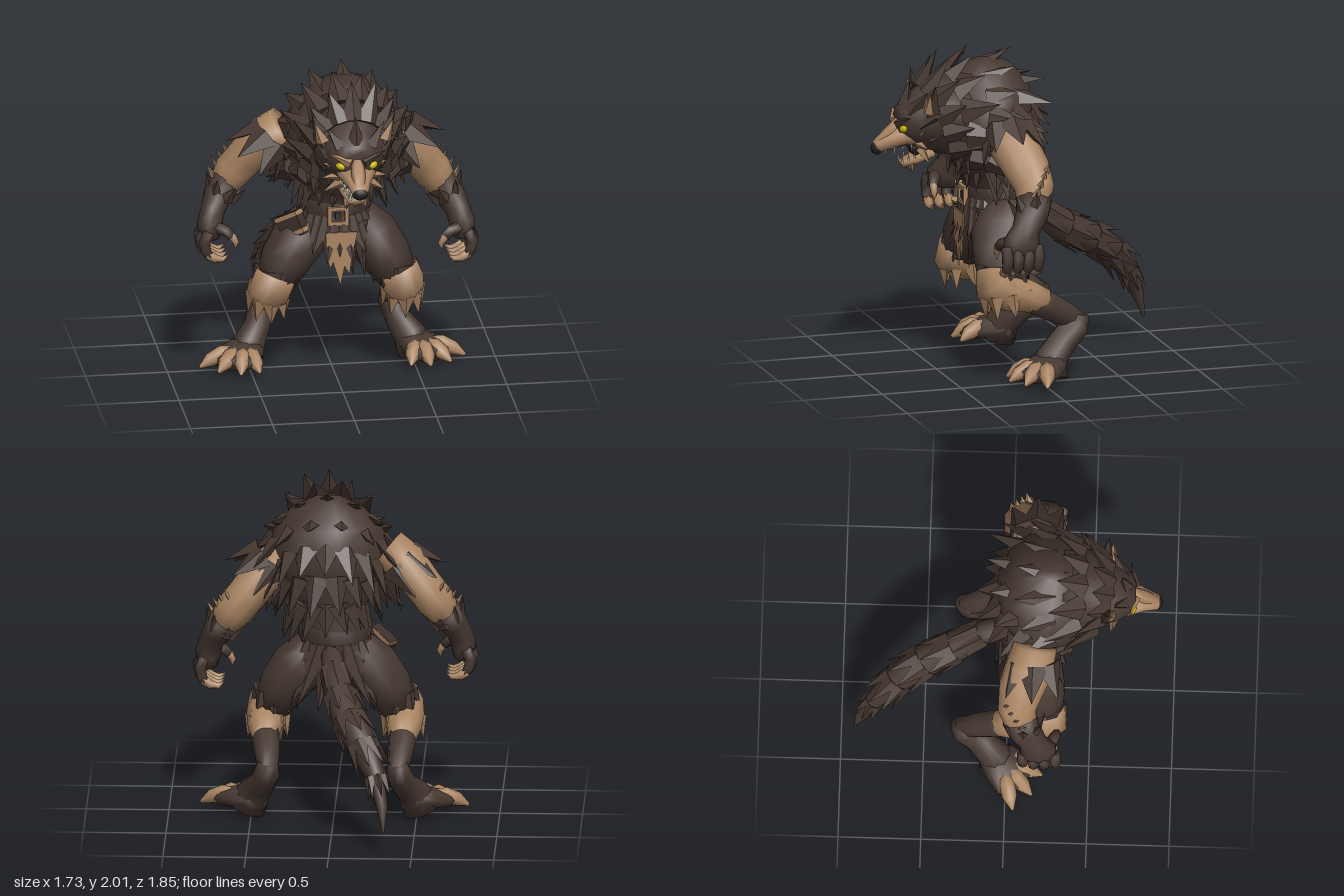
import * as THREE from 'three';
import { mergeGeometries } from 'three/addons/utils/BufferGeometryUtils.js';

const V = (a) => new THREE.Vector3(a[0], a[1], a[2]);
const mat = (name, color) => { const m = new THREE.MeshStandardMaterial({ color }); m.name = name; return m; };
const Z = [0, 0, 1], Y = [0, 1, 0];

// Elliptical loft through sections [x, y, z, radius across, radius along ref]
function loft(secs, ref = Z, sides = 10) {
  const P = secs.map(V), pos = [], idx = [], n = secs.length;
  secs.forEach((s, i) => {
    const t = P[Math.min(i + 1, n - 1)].clone().sub(P[Math.max(i - 1, 0)]).normalize();
    const u = t.clone().cross(V(ref)).normalize(), v = u.clone().cross(t);
    for (let j = 0; j < sides; j++) {
      const a = (j / sides) * Math.PI * 2;
      const p = P[i].clone().addScaledVector(u, Math.cos(a) * s[3]).addScaledVector(v, Math.sin(a) * (s[4] ?? s[3]));
      pos.push(p.x, p.y, p.z);
    }
  });
  for (let i = 0; i < n - 1; i++) for (let j = 0; j < sides; j++) {
    const k = (j + 1) % sides, a = i * sides + j, b = i * sides + k, c = a + sides, d = b + sides;
    idx.push(a, c, b, b, c, d);
  }
  const s0 = n * sides, last = (n - 1) * sides;
  for (const p of [P[0], P[n - 1]]) pos.push(p.x, p.y, p.z);
  for (let j = 0; j < sides; j++) {
    const k = (j + 1) % sides;
    idx.push(s0, j, k, s0 + 1, last + k, last + j);
  }
  const g = new THREE.BufferGeometry();
  g.setAttribute('position', new THREE.Float32BufferAttribute(pos, 3));
  g.setIndex(idx);
  g.computeVertexNormals();
  return g;
}

// Pointed fur tuft: faceted, ridged, flattened along its normal
function tuft(p, dir, normal, len, w, thick = w * 0.5) {
  const y = V(dir).normalize(), x = y.clone().cross(V(normal)).normalize(), z = x.clone().cross(y);
  const g = new THREE.ConeGeometry(1, 1, 4).toNonIndexed();
  g.deleteAttribute('uv');
  g.translate(0, 0.5, 0).scale(w, len, thick);
  g.applyMatrix4(new THREE.Matrix4().makeBasis(x, y, z).setPosition(V(p)));
  g.computeVertexNormals();
  return g;
}

export function createModel() {
  const root = new THREE.Group();
  const dark = mat('dark fur', 0x463831), tan = mat('tan fur', 0xa98462), black = mat('nose black', 0x241f1d);
  const yellow = mat('eye yellow', 0xc9b400), white = mat('tooth white', 0xe6e2d6), leather = mat('leather', 0x3d302a);
  const add = (name, geo, m) => {
    const mesh = new THREE.Mesh(Array.isArray(geo) ? mergeGeometries(geo) : geo, m);
    mesh.name = name;
    root.add(mesh);
    return mesh;
  };

  // Torso with hunched back
  add('torso', loft([[0, 0.86, 0.12, 0.17, 0.15], [0, 1.0, 0.13, 0.2, 0.18], [0, 1.12, 0.13, 0.19, 0.17], [0.02, 1.25, 0.17, 0.22, 0.2],
    [0.03, 1.4, 0.2, 0.32, 0.27], [0.04, 1.55, 0.22, 0.38, 0.31], [0.05, 1.7, 0.24, 0.33, 0.3], [0.05, 1.82, 0.27, 0.22, 0.23],
    [0.05, 1.89, 0.29, 0.07, 0.1]], Z, 14), dark);

  // Mane: arcs of tufts sweeping from brow over the back; rows are [z, y, centre z, centre y, half width]
  const rows = [[0.72, 1.66, 0.62, 1.52, 0.16], [0.62, 1.78, 0.52, 1.5, 0.24], [0.46, 1.85, 0.4, 1.48, 0.31], [0.27, 1.86, 0.28, 1.48, 0.38],
    [0.07, 1.8, 0.2, 1.48, 0.38], [-0.05, 1.66, 0.17, 1.45, 0.34], [-0.08, 1.48, 0.15, 1.38, 0.28], [-0.05, 1.3, 0.13, 1.25, 0.22]];
  const mane = [];
  rows.forEach(([z, y, cz, cy, w], r) => {
    const nx = rows[Math.min(r + 1, 7)], pv = rows[Math.max(r - 1, 0)], count = r === 0 ? 7 : 10 + (r % 2);
    const tan0 = new THREE.Vector3(0, nx[1] - pv[1], nx[0] - pv[0]).normalize();
    for (let i = 0; i < count; i++) {
      const a = (i / (count - 1) - 0.5) * 3.8, c = Math.cos(a), s = Math.sin(a);
      const p = [0.05 + w * s * 0.95, cy + (y - cy) * c * 0.95, cz + (z - cz) * c * 0.95];
      const rad = new THREE.Vector3(s, (y - cy) * c * 2.5, (z - cz) * c * 2.5).normalize();
      const dir = rad.clone().multiplyScalar(r > 4 ? 0.35 : 0.55).addScaledVector(tan0, 0.8);
      dir.y -= 0.25 * Math.abs(s);
      const len = (r === 0 ? 0.16 : 0.23) * (1 + 0.15 * Math.sin(i * 5.1 + r * 2.3));
      mane.push(tuft(p, dir.toArray(), rad.toArray(), len, r === 0 ? 0.055 : 0.085, 0.045));
    }
  });
  add('mane', mane, dark);

  // Chest ruff under the jaw
  const ruff = [];
  for (let r = 0; r < 3; r++) for (let i = -2; i <= 2; i++)
    ruff.push(tuft([0.04 + i * (0.06 + r * 0.02), 1.3 + r * 0.09, 0.35 + r * 0.06 - Math.abs(i) * 0.035], [i * 0.12, -1, 0.18], [0, 0, 1], 0.19, 0.07, 0.05));
  add('chestRuff', ruff, dark);

  // Head, muzzle and open jaw
  add('head', loft([[0.05, 1.6, 0.3, 0.3, 0.28], [0.05, 1.57, 0.52, 0.24, 0.24], [0.05, 1.55, 0.66, 0.18, 0.17], [0.05, 1.53, 0.74, 0.125, 0.12],
    [0.05, 1.53, 0.77, 0.08, 0.08]], Y, 12), dark);
  add('muzzle', loft([[0.05, 1.47, 0.6, 0.13, 0.075], [0.05, 1.475, 0.73, 0.12, 0.065], [0.05, 1.44, 0.82, 0.075, 0.055], [0.05, 1.405, 0.9, 0.05, 0.04]], Y), tan);
  add('noseBridge', loft([[0.05, 1.56, 0.75, 0.035, 0.03], [0.05, 1.5, 0.81, 0.045, 0.03], [0.05, 1.435, 0.89, 0.035, 0.025]], Y, 6), tan);
  const nose = add('nose', new THREE.SphereGeometry(0.05, 10, 8), black);
  nose.scale.set(1, 0.8, 0.7);
  nose.position.set(0.05, 1.4, 0.895);
  add('mouth', loft([[0.05, 1.41, 0.56, 0.09, 0.07], [0.05, 1.38, 0.68, 0.07, 0.055]], Y, 8), black);
  add('jaw', loft([[0.05, 1.37, 0.56, 0.11, 0.05], [0.05, 1.32, 0.66, 0.085, 0.035], [0.05, 1.29, 0.74, 0.05, 0.025]], Y), tan);
  add('chinTufts', [-1, 0, 1].map((i) => tuft([0.05 + i * 0.045, 1.3, 0.68], [i * 0.3, -1, 0.1], Z, 0.07, 0.03)), tan);
  const teeth = [], cheeks = [], ears = [], inner = [], brows = [];
  for (const s of [-1, 1]) {
    for (let i = 0; i < 4; i++) {
      teeth.push(tuft([0.05 + s * (0.045 + i * 0.014), 1.4 + i * 0.008, 0.85 - i * 0.05], [0, -1, 0], Z, i === 1 ? 0.075 : 0.05, 0.014));
      teeth.push(tuft([0.05 + s * (0.035 + i * 0.012), 1.305 + i * 0.015, 0.74 - i * 0.035], [0, 1, 0.1], Z, i === 0 ? 0.08 : 0.05, 0.013));
    }
    for (let i = 0; i < 3; i++)
      cheeks.push(tuft([0.05 + s * 0.08, 1.49 - i * 0.05, 0.68 - i * 0.02], [s, 0.25 - i * 0.45, -0.25], Z, 0.13, 0.04, 0.03));
    ears.push(tuft([0.05 + s * 0.17, 1.62, 0.59], [s * 0.42, 1, 0.05], [s * 0.5, 0, 1], 0.22, 0.075, 0.05));
    inner.push(tuft([0.05 + s * 0.19, 1.645, 0.625], [s * 0.4, 1, 0.02], [s * 0.5, 0, 1], 0.14, 0.045, 0.03));
    brows.push(tuft([0.05 + s * 0.04, 1.555, 0.775], [s, 0.42, -0.3], [0, 0.3, 1], 0.16, 0.03, 0.025));
    const eye = add(s > 0 ? 'leftEye' : 'rightEye', new THREE.SphereGeometry(0.032, 8, 6), yellow);
    eye.scale.set(1, 0.7, 0.6);
    eye.position.set(0.05 + s * 0.1, 1.53, 0.755);
    eye.rotation.set(0, s * 0.5, s * 0.3);
  }
  add('teeth', teeth, white);
  add('cheekTufts', cheeks, tan);
  add('ears', ears, dark);
  add('innerEars', inner, tan);
  add('leftBrow', brows[1], dark);
  add('rightBrow', brows[0], tan);

  // Arms and hands; the right arm is carried a little higher
  for (const s of [-1, 1]) {
    const side = s > 0 ? 'left' : 'right', up = s > 0 ? 0 : 0.07;
    const M = (secs, k = 1) => secs.map(([x, y, ...r]) => [x * s, y + up * k, ...r]);
    add(side + 'Arm', loft(M([[0.32, 1.52, 0.17, 0.13, 0.14], [0.43, 1.44, 0.14, 0.13, 0.15], [0.53, 1.32, 0.09, 0.12, 0.14],
      [0.61, 1.22, 0.07, 0.12, 0.12], [0.68, 1.12, 0.1, 0.09, 0.1]])), tan);
    add(side + 'Forearm', loft(M([[0.655, 1.16, 0.085, 0.105, 0.11], [0.71, 1.08, 0.12, 0.09, 0.1], [0.75, 1.0, 0.17, 0.075, 0.085],
      [0.77, 0.93, 0.2, 0.08, 0.115], [0.775, 0.85, 0.21, 0.065, 0.11]])), dark);
    const cuff = [], elbow = [], cap = [];
    for (let i = 0; i < 7; i++) {
      const a = (i / 7) * Math.PI * 2, c = Math.cos(a), d = Math.sin(a);
      cuff.push(tuft([s * (0.69 + c * 0.065), 1.08 + up + c * 0.04, 0.11 + d * 0.085], [s * (c * 0.5 - 0.35), 0.75, d * 0.4], [s * c, 0.3, d], 0.12, 0.05, 0.03));
      cap.push(tuft([s * (0.38 + c * 0.08), 1.53 + c * 0.07, 0.16 + d * 0.12], [s * (0.7 + c * 0.35), -0.75 + c * 0.3, d * 0.4], [s * c, 0.3 + c * 0.3, d], 0.23, 0.1, 0.05));
    }
    for (let i = 0; i < 4; i++)
      elbow.push(tuft([s * (0.6 + i * 0.035), 1.24 + up - i * 0.035, 0.03 + i * 0.03], [s * 0.5, 1, -0.25], [s, 0.3, 0], 0.17, 0.05, 0.03));
    add(side + 'ForearmTufts', cuff, dark);
    add(side + 'ElbowTufts', elbow, tan);
    add(side + 'ShoulderTufts', cap, dark);
    const fingers = [], claws = [];
    for (let i = 0; i < 4; i++) {
      const z = 0.11 + i * 0.065, o = Math.abs(i - 1.5) * 0.012;
      fingers.push(loft(M([[0.79, 0.91, z, 0.035], [0.835 - o, 0.85, z, 0.037], [0.825 - o, 0.79, z, 0.033], [0.785, 0.755, z, 0.028]]), Z, 7));
      claws.push(loft(M([[0.8, 0.77, z, 0.032], [0.75, 0.74, z, 0.028], [0.705, 0.735, z, 0.019], [0.67, 0.76, z, 0.003]]), Z, 6));
    }
    fingers.push(loft(M([[0.75, 0.93, 0.27, 0.04], [0.68, 0.91, 0.3, 0.035], [0.65, 0.88, 0.31, 0.03]]), Z, 7));
    claws.push(loft(M([[0.655, 0.89, 0.31, 0.027], [0.625, 0.84, 0.315, 0.019], [0.63, 0.8, 0.315, 0.003]]), Z, 6));
    add(side + 'Fingers', fingers, dark);
    add(side + 'FingerClaws', claws, tan);

    // Legs: thigh, tan knee, swept-back hock and splayed foot
    const L = (secs) => M(secs, 0);
    add(side + 'Thigh', loft(L([[0.12, 1.0, 0.12, 0.12, 0.14], [0.21, 0.87, 0.14, 0.17, 0.2], [0.31, 0.73, 0.17, 0.155, 0.19], [0.38, 0.6, 0.2, 0.12, 0.15]])), dark);
    add(side + 'Knee', loft(L([[0.37, 0.66, 0.24, 0.13, 0.12], [0.405, 0.58, 0.25, 0.13, 0.14], [0.415, 0.53, 0.16, 0.125, 0.12], [0.42, 0.5, 0.04, 0.105, 0.1],
      [0.415, 0.46, -0.05, 0.08, 0.085]]), Z), tan);
    add(side + 'Shin', loft(L([[0.42, 0.5, 0.06, 0.09, 0.09], [0.41, 0.44, -0.06, 0.085, 0.09], [0.4, 0.38, -0.17, 0.075, 0.08], [0.39, 0.31, -0.27, 0.06, 0.07]]), Y), dark);
    add(side + 'Hock', loft(L([[0.39, 0.36, -0.26, 0.06, 0.08], [0.4, 0.29, -0.25, 0.08, 0.09], [0.43, 0.2, -0.16, 0.08, 0.09], [0.49, 0.12, -0.07, 0.1, 0.1],
      [0.52, 0.02, -0.05, 0.11, 0.12]])), dark);
    add(side + 'Foot', loft(L([[0.45, 0.09, -0.13, 0.07, 0.08], [0.52, 0.085, -0.04, 0.13, 0.08], [0.6, 0.065, 0.06, 0.16, 0.06], [0.64, 0.05, 0.11, 0.12, 0.04]]), Y), dark);
    const tips = [[0.46, 0.2], [0.58, 0.22], [0.71, 0.16], [0.81, 0.05]];
    add(side + 'Toes', tips.map(([x, z]) => {
      const q = (k, y, r, h) => [x + (0.53 - x) * k, y, z + (-0.03 - z) * k, r, h];
      return loft(L([q(0.75, 0.09, 0.04, 0.04), q(0.5, 0.09, 0.052, 0.05), q(0.25, 0.06, 0.045, 0.045), q(0, 0.02, 0.008, 0.01)]), Y, 8);
    }), tan);
    const kneeFur = [], thighFur = [];
    for (let i = 0; i < 8; i++) {
      const a = (i / 8) * Math.PI * 2, c = Math.cos(a), d = Math.sin(a);
      thighFur.push(tuft([s * (0.355 + c * 0.11), 0.7, 0.19 + d * 0.13], [s * (0.15 + c * 0.25), -1, d * 0.25], [s * c, 0, d], 0.14, 0.07, 0.035));
      kneeFur.push(tuft([s * (0.41 + c * 0.1), 0.54 - d * 0.02, 0.18 + d * 0.14], [s * c * 0.15, -1, d * 0.1 - 0.15], [s * c, 0, d], 0.15, 0.06, 0.04));
    }
    kneeFur.push(tuft([s * 0.38, 0.62, 0.3], [s * -0.1, 1, -0.05], Z, 0.15, 0.08, 0.05), tuft([s * 0.47, 0.6, 0.22], [s * 0.05, 1, 0], [s, 0, 0], 0.13, 0.08, 0.04));
    add(side + 'ThighTufts', thighFur, dark);
    add(side + 'KneeTufts', kneeFur, tan);
  }

  // Fur skirt, belt and loincloth
  const skirt = [];
  for (let r = 0; r < 2; r++) for (let i = 0; i < 14; i++) {
    const a = ((i + r * 0.5) / 14) * Math.PI * 2, c = Math.cos(a), d = Math.sin(a), back = d < -0.7;
    skirt.push(tuft([c * 0.19, 1.04, 0.13 + d * 0.17], [c * (r ? 0.85 : 0.6), -1, d * (back ? 0.1 : 0.35)], [c, 0.4, d], back ? 0.42 : 0.29 - r * 0.04, 0.085, 0.035));
  }
  for (let i = 0; i < 3; i++) skirt.push(tuft([0.02 + i * 0.05, 1.0, 0.29], [0.06 * i, -1, 0.04], Z, 0.36 - (i % 2) * 0.02, 0.06, 0.02));
  add('furSkirt', skirt, dark);
  const belt = add('belt', new THREE.LatheGeometry([[0.19, 1.0], [0.222, 1.005], [0.222, 1.12], [0.19, 1.13]].map(([x, y]) => new THREE.Vector2(x, y)), 20), leather);
  belt.scale.z = 0.88;
  belt.position.z = 0.13;
  const frame = new THREE.Shape([[-0.07, 1.0], [0.06, 1.0], [0.06, 1.115], [-0.07, 1.115]].map(([x, y]) => new THREE.Vector2(x, y)));
  frame.holes.push(new THREE.Path([[-0.045, 1.022], [-0.045, 1.092], [0.035, 1.092], [0.035, 1.022]].map(([x, y]) => new THREE.Vector2(x, y))));
  add('buckle', new THREE.ExtrudeGeometry(frame, { depth: 0.03, bevelEnabled: false }), tan).position.z = 0.315;
  const pin = add('bucklePin', new THREE.BoxGeometry(0.035, 0.04, 0.02), leather);
  pin.position.set(-0.005, 1.057, 0.33);
  const cloth = new THREE.Shape([[-0.085, 0.96], [-0.08, 0.8], [-0.055, 0.73], [-0.04, 0.77], [0.005, 0.62], [0.03, 0.74], [0.06, 0.69], [0.075, 0.8], [0.11, 0.96]]
    .map(([x, y]) => new THREE.Vector2(x, y)));
  add('loincloth', new THREE.ExtrudeGeometry(cloth, { depth: 0.009, bevelEnabled: false }), tan).position.z = 0.355;

  // Hip pouch with tan trims
  const pouch = new THREE.Group();
  pouch.name = 'hipPouch';
  [[0.16, 0.15, 0.07, 0, 0, leather], [0.17, 0.025, 0.08, 0, 0.06, tan], [0.17, 0.025, 0.08, 0, -0.05, tan]].forEach(([w, h, d, x, y, m]) => {
    const b = new THREE.Mesh(new THREE.BoxGeometry(w, h, d), m);
    b.name = m === tan ? 'pouchTrim' : 'pouchBody';
    b.position.set(x, y, 0);
    pouch.add(b);
  });
  pouch.position.set(-0.27, 0.98, 0.24);
  pouch.rotation.set(0, -0.7, 0.5);
  root.add(pouch);

  // Tail with overlapping tufts
  const tail = [[0.02, 1.0, -0.02, 0.06, 0.06], [0, 0.92, -0.15, 0.075, 0.08], [-0.05, 0.8, -0.32, 0.1, 0.1], [-0.11, 0.7, -0.5, 0.105, 0.1],
    [-0.19, 0.6, -0.66, 0.09, 0.09], [-0.28, 0.44, -0.8, 0.055, 0.06], [-0.32, 0.27, -0.88, 0.035, 0.04], [-0.33, 0.12, -0.92, 0.006, 0.006]];
  add('tail', loft(tail, Y), dark);
  const tailFur = [];
  for (let r = 1; r < 6; r++) for (let i = 0; i < 7; i++) {
    const a = ((i + (r % 2) * 0.5) / 7) * Math.PI * 2, [x, y, z, w] = tail[r];
    const t = V(tail[r + 1]).sub(V(tail[r])).normalize();
    const u = t.clone().cross(V(Y)).normalize(), n = u.clone().multiplyScalar(Math.cos(a)).addScaledVector(u.clone().cross(t), Math.sin(a));
    const p = new THREE.Vector3(x, y, z).addScaledVector(n, w * 0.8);
    tailFur.push(tuft(p.toArray(), t.addScaledVector(n, 0.2).toArray(), n.toArray(), r > 4 ? 0.14 : 0.21, w * 0.6, 0.03));
  }
  add('tailTufts', tailFur, dark);
  return root;
}
